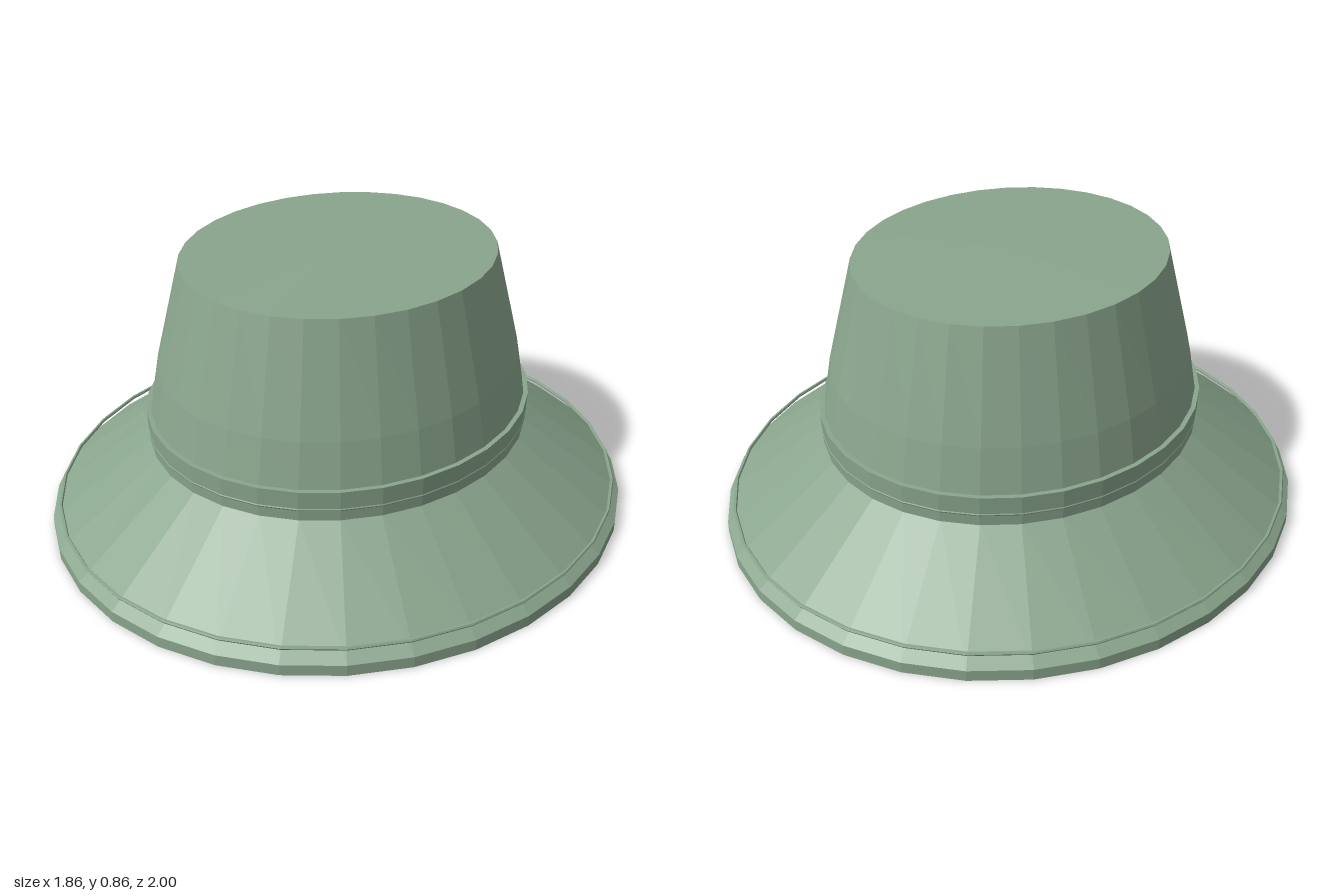
import * as THREE from 'three';

const SIDES = 32;

// Oval lathe: each profile point is [half width in x, half depth in z, height]
function ovalLathe(profile) {
  const geo = new THREE.LatheGeometry(profile.map(([rx, , y]) => new THREE.Vector2(rx, y)), SIDES);
  const pos = geo.attributes.position;
  for (let i = 0; i < pos.count; i++) {
    const [rx, rz] = profile[i % profile.length];
    if (rx > 0) pos.setZ(i, pos.getZ(i) * rz / rx);
  }
  const flat = geo.toNonIndexed();
  flat.computeVertexNormals();
  return flat;
}

// Small round cord running around an oval
function cordProfile(rx, rz, y, r) {
  const points = [];
  for (let i = 0; i <= 6; i++) {
    const a = i / 6 * Math.PI * 2;
    points.push([rx + r * Math.cos(a), rz + r * Math.cos(a), y + r * Math.sin(a)]);
  }
  return points;
}

export function createModel() {
  const hat = new THREE.Group();
  hat.name = 'bucketHat';
  const cloth = new THREE.MeshStandardMaterial({ color: 0x8aa58d, flatShading: true, side: THREE.DoubleSide });
  cloth.name = 'sage green cloth';

  const add = (name, profile) => {
    const mesh = new THREE.Mesh(ovalLathe(profile), cloth);
    mesh.name = name;
    hat.add(mesh);
  };

  // Hollow crown with a flat top
  add('crown', [
    [0.59, 0.66, 0.27], [0.59, 0.66, 0.38], [0.565, 0.632, 0.52], [0.48, 0.545, 0.86], [0, 0, 0.86],
  ]);

  // Sloping brim with an upright outer edge
  add('brim', [
    [0.575, 0.645, 0.26], [0.93, 1.0, 0], [0.93, 1.0, 0.035], [0.59, 0.66, 0.285], [0.575, 0.645, 0.26],
  ]);

  // Band around the base of the crown
  add('band', [
    [0.585, 0.655, 0.283], [0.6, 0.67, 0.283], [0.605, 0.675, 0.38], [0.585, 0.655, 0.38],
  ]);

  // Seam cords on the band and near the brim edge
  add('bandSeam', cordProfile(0.599, 0.669, 0.32, 0.005));
  add('brimSeam', cordProfile(0.905, 0.972, 0.073, 0.006));

  return hat;
}
